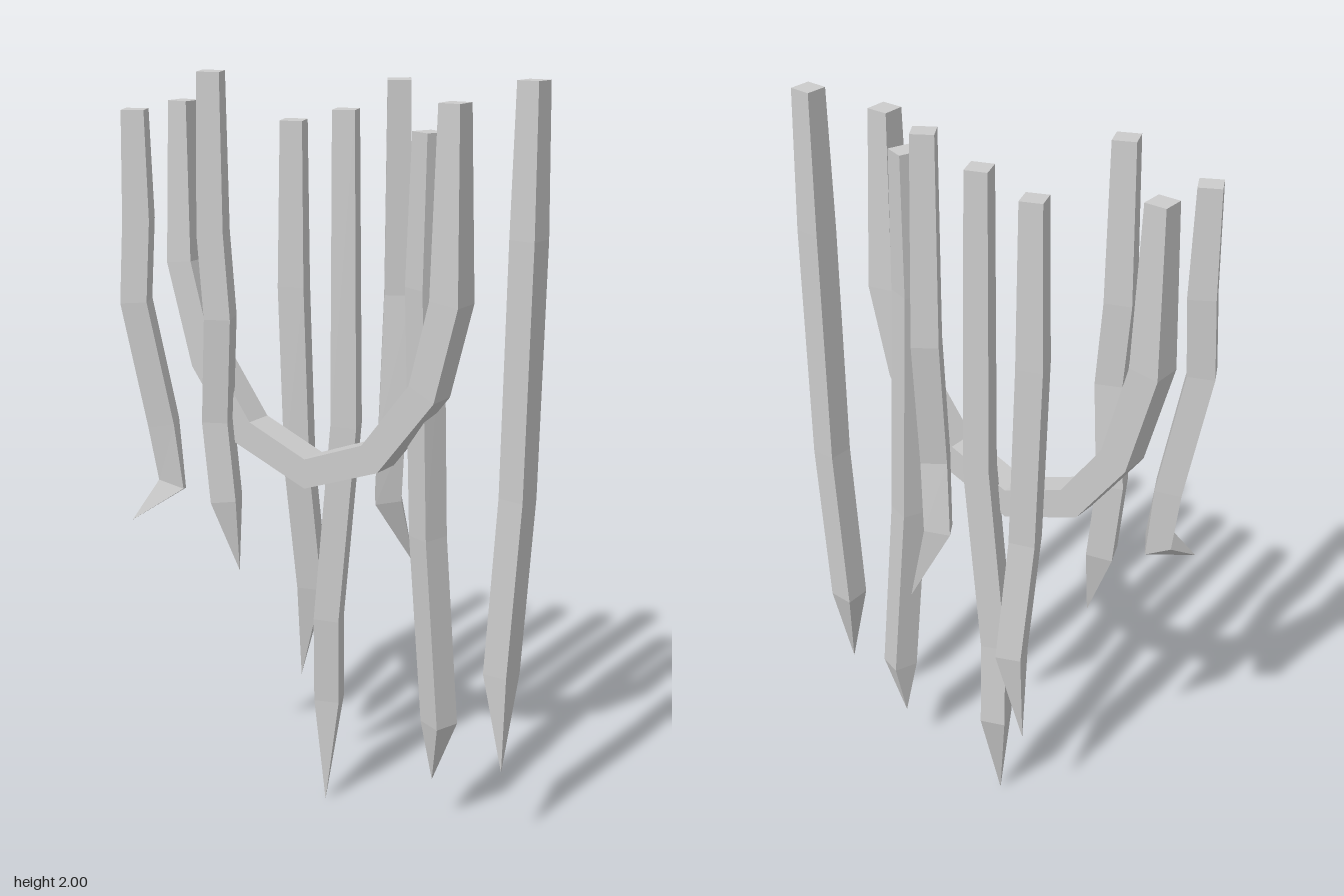
import * as THREE from 'three';

const material = new THREE.MeshStandardMaterial({ color: 0xcccccc, flatShading: true });

// Square-section stem through points: narrow cut start, thicker middle, end of a given side (0 is a tip).
function stemGeometry(points, yawDegrees, middleSide, endSide) {
  const yaw = THREE.MathUtils.degToRad(yawDegrees);
  const facing = new THREE.Vector3(-Math.sin(yaw), 0, Math.cos(yaw));
  const last = points.length - 1;
  const centres = points.map((p) => new THREE.Vector3(...p));
  const direction = (i, j) => centres[j].clone().sub(centres[i]).normalize();

  const rings = centres.map((c, i) => {
    const t = direction(Math.max(i - 1, 0), Math.max(i, 1))
      .add(direction(Math.min(i, last - 1), Math.min(i + 1, last))).normalize();
    const b = facing.clone().addScaledVector(t, -facing.dot(t)).normalize();
    const a = b.clone().cross(t);
    const half = (i === 0 ? 0.058 : i === last ? endSide : middleSide) / 2;
    return [[1, 1], [-1, 1], [-1, -1], [1, -1]].map(([u, v]) =>
      c.clone().addScaledVector(a, u * half).addScaledVector(b, v * half));
  });

  const positions = [];
  const tri = (...corners) => corners.forEach((p) => positions.push(p.x, p.y, p.z));
  const quad = (p, q, r, s) => { tri(p, q, r); tri(p, r, s); };
  for (let i = 0; i < last; i++) {
    const p = rings[i], q = rings[i + 1];
    for (let k = 0; k < 4; k++) {
      const n = (k + 1) % 4;
      if (i + 1 === last && endSide === 0) tri(p[k], p[n], q[n]);
      else quad(p[k], p[n], q[n], q[k]);
    }
  }
  // End caps
  quad(...rings[0].slice().reverse());
  if (endSide > 0) quad(...rings[last]);

  const geometry = new THREE.BufferGeometry();
  geometry.setAttribute('position', new THREE.Float32BufferAttribute(positions, 3));
  geometry.computeVertexNormals();
  return geometry;
}

// Hanging vines, each from its cut top down to a pointed end
const vines = [
  { yaw: -15, path: [[-0.5, 1.905, 0.096], [-0.5, 1.63, 0.096], [-0.51, 1.42, 0.105],
    [-0.455, 1.09, 0.08], [-0.437, 0.92, 0.075], [-0.51, 0.84, 0.17]] },
  { yaw: -10, path: [[-0.31, 2, 0.05], [-0.315, 1.6, 0.045], [-0.3, 1.38, 0.045],
    [-0.32, 1.1, 0.03], [-0.3, 0.88, 0.03], [-0.265, 0.68, 0.03]] },
  { yaw: -8, path: [[-0.145, 1.875, -0.085], [-0.15, 1.45, -0.09], [-0.14, 0.95, -0.1],
    [-0.12, 0.6, -0.135], [-0.155, 0.32, -0.137]] },
  { yaw: -8, path: [[0.01, 1.91, -0.05], [0.012, 1.1, -0.05], [-0.037, 0.55, -0.05],
    [-0.042, 0.3, -0.065], [-0.04, 0, -0.03]] },
  { yaw: -20, path: [[0.14, 1.985, -0.075], [0.137, 1.45, -0.09], [0.135, 1.1, -0.06],
    [0.118, 0.9, -0.085], [0.175, 0.7, -0.14]] },
  { yaw: 33, path: [[0.26, 1.875, 0.05], [0.255, 1.5, 0.05], [0.268, 0.85, 0.03],
    [0.302, 0.32, 0.012], [0.285, 0.145, 0.01]] },
  { yaw: 15, path: [[0.505, 2, 0.027], [0.507, 1.63, 0.03], [0.5, 0.98, 0.027],
    [0.475, 0.5, 0.033], [0.493, 0.235, 0.07]] },
];

// Looping vine, hung from both ends in one slanted upright plane
const loopPath = [[-0.445, 1.915], [-0.445, 1.5], [-0.375, 1.24], [-0.25, 1.065], [-0.055, 0.985],
  [0.14, 1.06], [0.285, 1.25], [0.342, 1.48], [0.34, 1.95]].map(([x, y]) => [x, y, 0.029 + 0.223 * x]);

export function createModel() {
  const model = new THREE.Group();
  model.name = 'hangingVines';
  const add = (name, geometry) => {
    const mesh = new THREE.Mesh(geometry, material);
    mesh.name = name;
    model.add(mesh);
  };
  vines.forEach(({ path, yaw }, i) => add(`hangingVine${i + 1}`, stemGeometry(path, yaw, 0.069, 0)));
  add('loopingVine', stemGeometry(loopPath, 12.5, 0.08, 0.058));
  return model;
}
